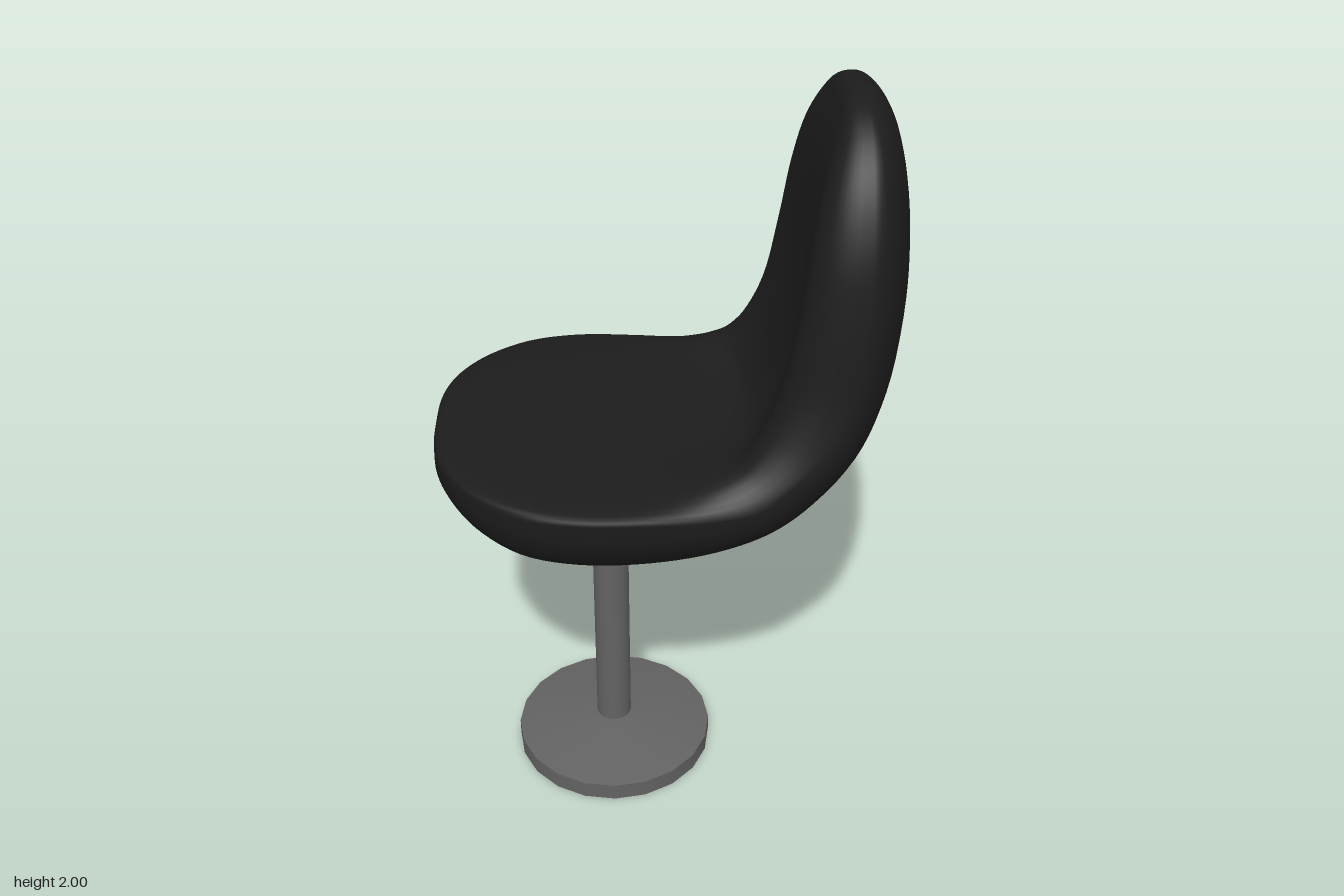
import * as THREE from 'three';
import { mergeVertices, toCreasedNormals } from 'three/addons/utils/BufferGeometryUtils.js';

// Stations of the shell, from the front lip back and up to the top:
// inner (u, y), outer (u, y), rim (u, y), half width, height of the raised side lip
const STATIONS = [
  [-0.447, 1.075, -0.447, 1.065, -0.447, 1.07, 0, 0],
  [-0.437, 1.11, -0.44, 0.99, -0.437, 1.07, 0.13, 0],
  [-0.41, 1.12, -0.4, 0.93, -0.41, 1.08, 0.22, 0],
  [-0.34, 1.12, -0.33, 0.88, -0.34, 1.085, 0.33, 0],
  [-0.22, 1.12, -0.22, 0.833, -0.22, 1.085, 0.42, 0],
  [-0.08, 1.115, -0.08, 0.813, -0.08, 1.085, 0.457, 0],
  [0.08, 1.11, 0.1, 0.813, 0.1, 1.08, 0.455, 0.004],
  [0.2, 1.108, 0.28, 0.847, 0.24, 1.075, 0.44, 0.02],
  [0.295, 1.113, 0.425, 0.907, 0.36, 1.09, 0.425, 0.045],
  [0.355, 1.135, 0.54, 0.985, 0.43, 1.14, 0.41, 0.055],
  [0.405, 1.21, 0.645, 1.115, 0.51, 1.22, 0.39, 0.055],
  [0.445, 1.34, 0.705, 1.29, 0.565, 1.34, 0.37, 0.045],
  [0.475, 1.53, 0.73, 1.53, 0.595, 1.53, 0.355, 0.04],
  [0.49, 1.7, 0.722, 1.72, 0.6, 1.71, 0.328, 0.03],
  [0.508, 1.83, 0.7, 1.85, 0.6, 1.84, 0.277, 0.02],
  [0.532, 1.92, 0.673, 1.93, 0.6, 1.925, 0.21, 0.01],
  [0.556, 1.978, 0.637, 1.98, 0.597, 1.979, 0.125, 0.003],
  [0.592, 2, 0.598, 2, 0.595, 2, 0, 0],
];

// Seat and backrest as one smooth loft of rounded cross-sections
function shellGeometry(rows = 85, sides = 48) {
  const curve = (a, b, c) => new THREE.CatmullRomCurve3(
    STATIONS.map((s) => new THREE.Vector3(s[a], s[b], c === undefined ? 0 : s[c])));
  const inner = curve(0, 1, 7), outer = curve(2, 3), rim = curve(4, 5, 6);
  const pos = [], index = [];
  for (let i = 0; i <= rows; i++) {
    const t = i / rows;
    const r = rim.getPoint(t), pi = inner.getPoint(t), po = outer.getPoint(t);
    const w = Math.max(0, r.z);
    const across = new THREE.Vector2(pi.x - po.x, pi.y - po.y).normalize();
    // the bowl is fuller than the backrest
    const outerPower = THREE.MathUtils.lerp(0.88, 1, THREE.MathUtils.smoothstep(t, 0.4, 0.6));
    for (let j = 0; j < sides; j++) {
      const th = (j / sides) * Math.PI * 2;
      const c = Math.cos(th), s = Math.sin(th);
      const power = s > 0 ? 0.55 : outerPower;
      const target = s > 0 ? pi : po;
      const k = Math.pow(Math.abs(s), power);
      const lip = s > 0 ? pi.z * 4 * s * s * c * c : 0;
      pos.push(
        r.x + (target.x - r.x) * k + across.x * lip,
        r.y + (target.y - r.y) * k + across.y * lip,
        w * Math.sign(c) * Math.pow(Math.abs(c), power));
      if (i < rows) {
        const j2 = (j + 1) % sides;
        const a = i * sides + j, b = a + sides, d = i * sides + j2, e = d + sides;
        index.push(a, b, d, b, e, d);
      }
    }
  }
  let g = new THREE.BufferGeometry();
  g.setAttribute('position', new THREE.Float32BufferAttribute(pos, 3));
  g.setIndex(index);
  g = mergeVertices(g, 1e-4);
  g.computeVertexNormals();
  return g;
}

export function createModel() {
  const upholstery = new THREE.MeshStandardMaterial({ color: 0x1c1c1c });
  upholstery.name = 'black upholstery';
  const metal = new THREE.MeshStandardMaterial({ color: 0x626262 });
  metal.name = 'grey metal';

  const chair = new THREE.Group();
  chair.name = 'swivelChair';
  const add = (name, geometry, material, y = 0) => {
    const mesh = new THREE.Mesh(geometry, material);
    mesh.name = name;
    mesh.position.y = y;
    chair.add(mesh);
  };

  add('seatShell', shellGeometry(), upholstery);

  // Disc foot with a shallow cone on top
  const foot = new THREE.LatheGeometry(
    [[0, 0], [0.278, 0], [0.278, 0.05], [0.05, 0.09], [0, 0.09]].map(([x, y]) => new THREE.Vector2(x, y)), 20);
  add('foot', toCreasedNormals(foot, 0.35), metal);
  add('post', new THREE.CylinderGeometry(0.049, 0.049, 0.7, 20), metal, 0.43);
  add('mountingPlate', new THREE.CylinderGeometry(0.187, 0.187, 0.055, 20), metal, 0.7925);

  // The chair is swivelled about its post
  chair.position.set(-0.137, 0, 0.055);
  chair.rotation.y = THREE.MathUtils.degToRad(25);
  const model = new THREE.Group();
  model.name = 'chair';
  model.add(chair);
  return model;
}
